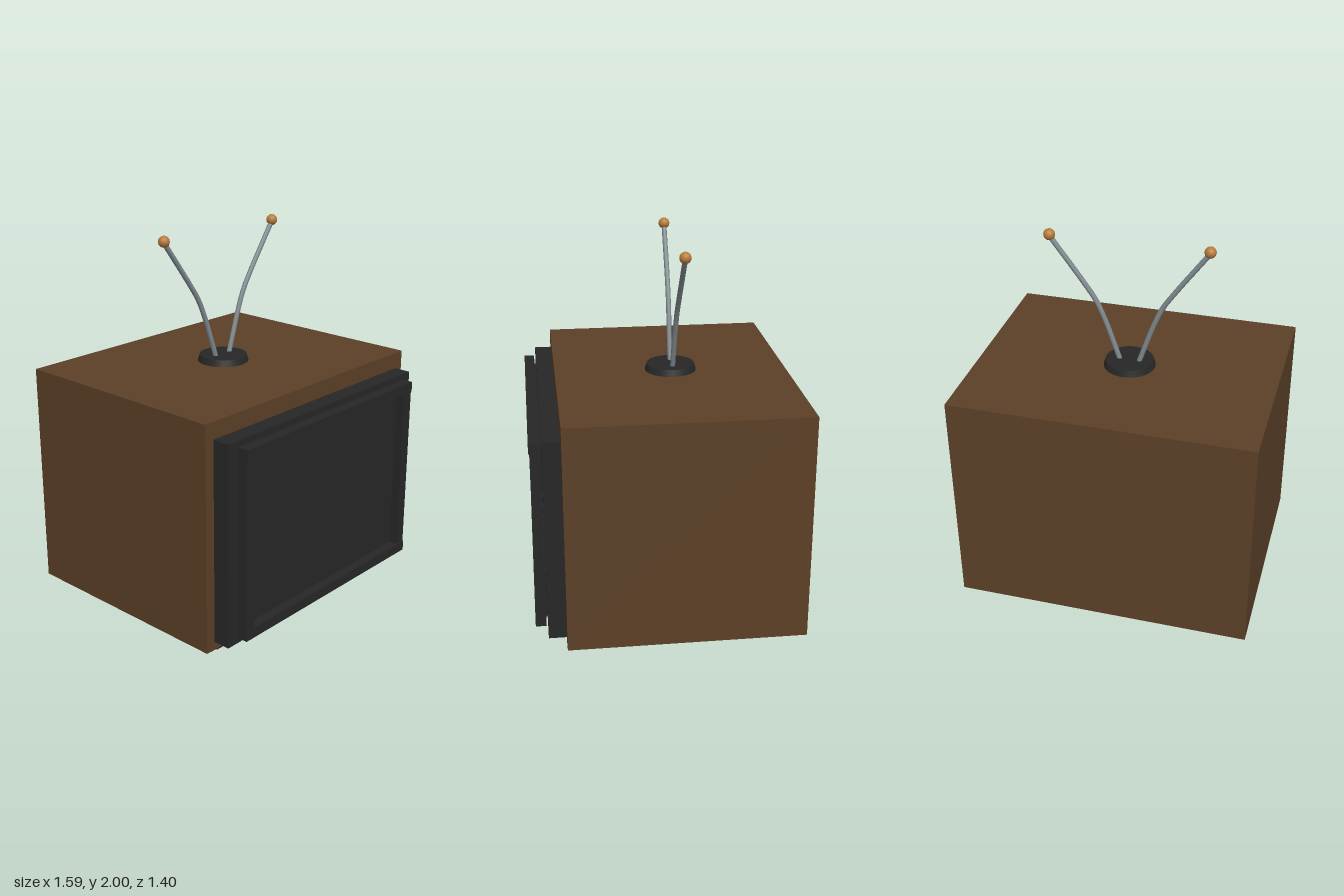
import * as THREE from 'three';

const mat = (name, color) => {
  const m = new THREE.MeshStandardMaterial({ color });
  m.name = name;
  return m;
};

export function createModel() {
  const wood = mat('brown wood', 0x5c4027);
  const black = mat('black plastic', 0x272727);
  const steel = mat('grey metal', 0x7f8a8e);
  const brass = mat('brass', 0xb87c3c);

  const model = new THREE.Group();
  model.name = 'television';

  const add = (name, geometry, material) => {
    const mesh = new THREE.Mesh(geometry, material);
    mesh.name = name;
    model.add(mesh);
    return mesh;
  };
  // Box given by its limits on each axis
  const box = (name, material, [x0, x1], [y0, y1], [z0, z1]) =>
    add(name, new THREE.BoxGeometry(x1 - x0, y1 - y0, z1 - z0), material)
      .position.set((x0 + x1) / 2, (y0 + y1) / 2, (z0 + z1) / 2);

  // Body
  box('cabinet', wood, [-0.795, 0.795], [0.045, 1.265], [-0.7, 0.545]);
  box('basePlate', black, [-0.75, 0.75], [0.03, 0.045], [-0.572, 0.53]);
  box('bezel', black, [-0.74, 0.74], [0.09, 1.175], [0.545, 0.638]);

  // Screen, recessed inside its frame
  box('screen', black, [-0.615, 0.615], [0.15, 1.115], [0.638, 0.65]);
  box('frameTop', black, [-0.677, 0.677], [1.09, 1.145], [0.646, 0.702]);
  box('frameBottom', black, [-0.677, 0.677], [0.125, 0.18], [0.646, 0.702]);

  for (const [side, s] of [['left', 1], ['right', -1]]) {
    const span = (a, b) => (s > 0 ? [a, b] : [-b, -a]);
    box(side + 'FrameSide', black, span(0.615, 0.677), [0.18, 1.09], [0.643, 0.697]);
    box(side + 'Foot', black, span(0.46, 0.68), [0, 0.03], [0.265, 0.505]);

    // Curved antenna rod with a ball on its end
    const path = new THREE.CatmullRomCurve3([
      [0.045, 1.27, -0.085], [0.085, 1.39, -0.086], [0.13, 1.52, -0.088],
      [0.178, 1.63, -0.09], [0.24, 1.725, -0.092], [0.413, 1.965, -0.096],
    ].map(([x, y, z]) => new THREE.Vector3(s * x, y, z)));
    add(side + 'AntennaRod', new THREE.TubeGeometry(path, 28, 0.0135, 12), steel);
    add(side + 'AntennaBall', new THREE.SphereGeometry(0.03, 20, 14), brass)
      .position.set(s * 0.414, 1.973, -0.096);
  }

  // Column of control buttons
  for (let i = 0; i < 8; i++) {
    const y = 0.458 + i * 0.0607;
    box('button', black, [0.688, 0.712], [y - 0.012, y + 0.012], [0.638, 0.652]);
  }

  // Antenna base
  add('antennaBase', new THREE.CylinderGeometry(0.128, 0.138, 0.035, 32), black)
    .position.set(0, 1.2825, -0.08);

  return model;
}
